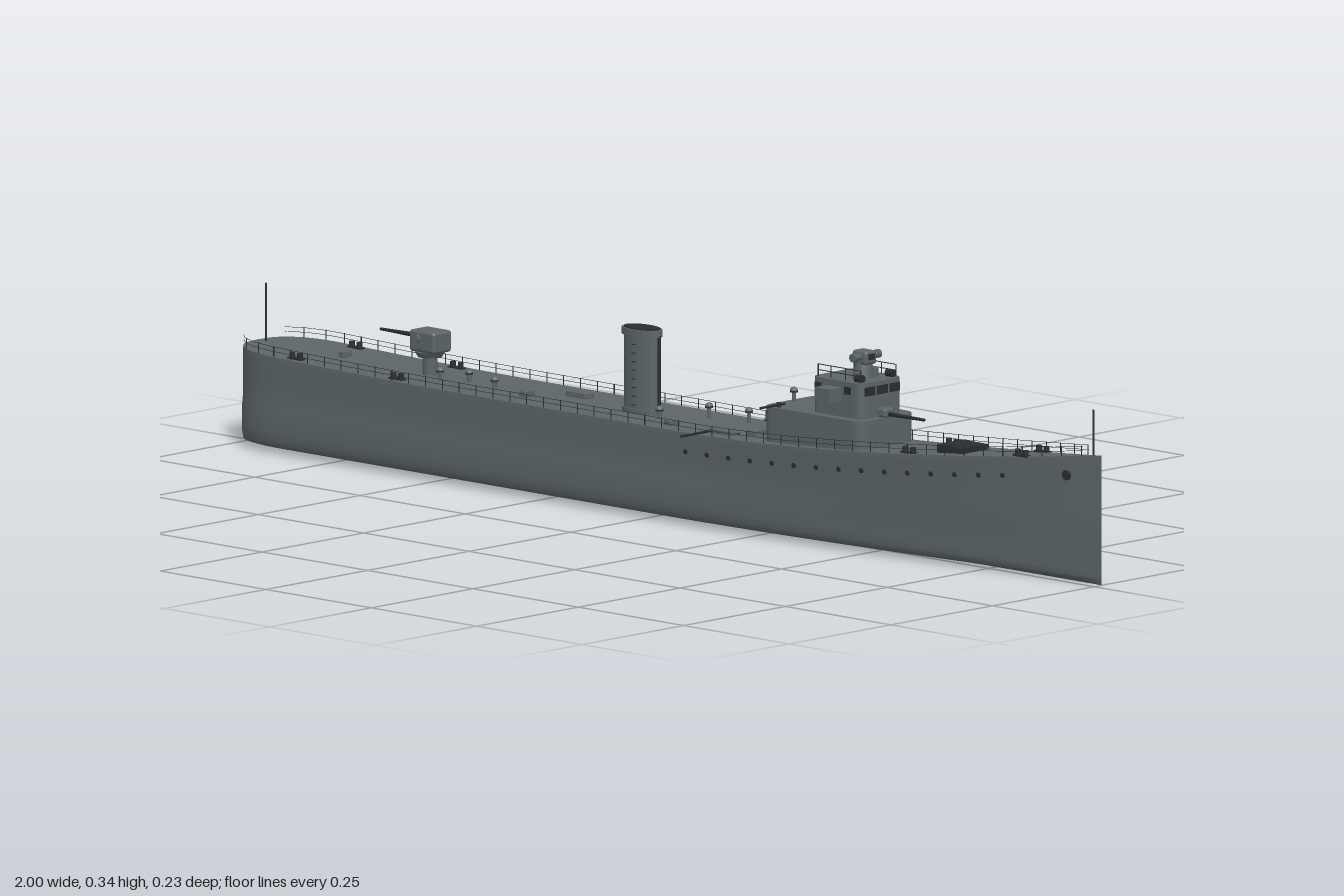
import * as THREE from 'three';
import { RoundedBoxGeometry } from 'three/addons/geometries/RoundedBoxGeometry.js';

const mat = (name, color) => {
  const m = new THREE.MeshStandardMaterial({ color });
  m.name = name;
  return m;
};

export function createModel() {
  const grey = mat('ship grey', 0x5c6568);
  const dark = mat('dark fittings', 0x2a2d2f);
  const ship = new THREE.Group();
  ship.name = 'warship';
  ship.position.z = -0.019;

  const add = (name, geo, m, x = 0, y = 0, z = 0, parent = ship) => {
    const mesh = new THREE.Mesh(geo, m);
    mesh.name = name;
    mesh.position.set(x, y, z);
    parent.add(mesh);
    return mesh;
  };
  const box = (name, m, w, h, d, x, y, z, parent) => add(name, new THREE.BoxGeometry(w, h, d), m, x, y, z, parent);
  const rod = (name, m, a, b, r, r2 = r, parent = ship) => {
    const p = new THREE.Vector3(...a), q = new THREE.Vector3(...b), dir = q.clone().sub(p);
    const mesh = add(name, new THREE.CylinderGeometry(r2, r, dir.length(), r > 0.003 ? 16 : 6), m, 0, 0, 0, parent);
    mesh.position.copy(p).add(q).multiplyScalar(0.5);
    mesh.quaternion.setFromUnitVectors(new THREE.Vector3(0, 1, 0), dir.normalize());
    return mesh;
  };
  // Extruded outline standing on y, with rounded vertical corners
  const block = (name, m, w, h, d, r, x, y, z, parent) => {
    const s = new THREE.Shape(), a = w / 2, b = d / 2;
    s.moveTo(-a + r, -b).lineTo(a - r, -b).quadraticCurveTo(a, -b, a, -b + r).lineTo(a, b - r);
    s.quadraticCurveTo(a, b, a - r, b).lineTo(-a + r, b).quadraticCurveTo(-a, b, -a, b - r);
    s.lineTo(-a, -b + r).quadraticCurveTo(-a, -b, -a + r, -b);
    const g = new THREE.ExtrudeGeometry(s, { depth: h, bevelEnabled: false, curveSegments: 6 });
    return add(name, g.rotateX(-Math.PI / 2), m, x, y, z, parent);
  };

  // Hull lines: half breadth and deck height along the length
  const half = (x) => {
    if (x < -0.86) return 0.094 * Math.pow(Math.max(0, 1 - Math.pow((-0.86 - x) / 0.14, 2.6)), 1 / 2.6);
    if (x < 0.15) return 0.094;
    return 0.094 * (1 - Math.pow((x - 0.15) / 0.85, 2.0));
  };
  const deckY = (x) => 0.165 + (x > 0.1 ? 0.063 * Math.pow((x - 0.1) / 0.9, 1.7) : 0) + (x < -0.4 ? 0.01 * Math.pow((-0.4 - x) / 0.6, 2) : 0);
  const stations = [];
  for (let i = 0; i <= 14; i++) stations.push(-0.86 - 0.14 * Math.cos((i / 14) * Math.PI / 2));
  for (let i = 1; i <= 50; i++) stations.push(-0.86 + (1.86 * i) / 50);

  // Hull shell from cross-sections
  const section = (x) => {
    const b = Math.max(half(x), 0.0008), h = deckY(x);
    const s = Math.max(0, (x - 0.1) / 0.9), low = 1 - 0.3 * s, mid = 1 - 0.15 * s;
    const pts = [[0.95, h], [0.96, h - 0.01], [0.95 * mid + 0.01 * s, 0.12], [0.96 * mid, 0.09], [low, 0.07],
      [low, 0.04], [0.985 * low, 0.025], [0.94 * low, 0.015], [0.8 * low, 0.011], [0.4 * low, 0.007]]
      .map(([f, y]) => [f * b, y]);
    return [...pts, [0, 0.003], ...pts.map(([z, y]) => [-z, y]).reverse()];
  };
  const pos = [], idx = [], dPos = [], dIdx = [];
  stations.forEach((x, i) => {
    const sec = section(x), n = sec.length;
    sec.forEach(([z, y]) => pos.push(x, y, z));
    dPos.push(x, sec[0][1], sec[0][0], x, sec[0][1], -sec[0][0]);
    if (i === stations.length - 1) return;
    for (let j = 0; j < n - 1; j++) {
      const a = i * n + j, c = a + n;
      idx.push(a, a + 1, c, a + 1, c + 1, c);
    }
    const p = i * 2;
    dIdx.push(p, p + 2, p + 1, p + 1, p + 2, p + 3);
  });
  const surface = (p, ix) => {
    const g = new THREE.BufferGeometry();
    g.setAttribute('position', new THREE.Float32BufferAttribute(p, 3));
    g.setIndex(ix);
    g.computeVertexNormals();
    return g;
  };
  add('hull', surface(pos, idx), grey);
  add('deck', surface(dPos, dIdx), grey);

  // Portholes, anchors, bollards and railings on both sides
  for (const s of [1, -1]) {
    for (let i = 0; i < 15; i++) {
      const x = 0.1 + i * 0.05, y = deckY(x) - 0.033;
      const sec = section(x), t = (y - 0.12) / (sec[1][1] - 0.12);
      const z = sec[2][0] + (sec[1][0] - sec[2][0]) * t;
      add('porthole', new THREE.CylinderGeometry(0.0045, 0.0045, 0.004, 10).rotateX(Math.PI / 2), dark, x, y, s * z);
    }
    add('anchor', new THREE.CylinderGeometry(0.009, 0.009, 0.006, 10).rotateX(Math.PI / 2), dark, 0.93, 0.187, s * (half(0.93) * 0.9));
    for (const x of [-0.84, -0.6, 0.595, 0.835]) {
      for (const dx of [-0.009, 0.009]) rod('bollard', dark, [x + dx, deckY(x), s * half(x) * 0.78], [x + dx, deckY(x) + 0.011, s * half(x) * 0.78], 0.005);
      box('bollard base', dark, 0.032, 0.003, 0.012, x, deckY(x) + 0.001, s * half(x) * 0.78);
    }
    const edge = (x, up) => new THREE.Vector3(x, deckY(x) + up, s * half(x) * 0.925);
    for (const up of [0.009, 0.017]) {
      const path = new THREE.CatmullRomCurve3(stations.filter((x, i) => i > 3 && x < 0.98).map((x) => edge(x, up)));
      add('rail wire', new THREE.TubeGeometry(path, 90, 0.0005, 3), dark);
    }
    for (let x = -0.96; x < 0.97; x += 0.04) rod('rail post', dark, edge(x, 0).toArray(), edge(x, 0.018).toArray(), 0.0009);
  }

  // Flag staffs
  rod('sternStaff', dark, [-0.982, 0.17, 0], [-0.982, 0.275, 0], 0.0018);
  rod('bowStaff', dark, [0.98, 0.22, 0], [0.98, 0.305, 0], 0.0018);

  // Deckhouse and bridge
  block('deckhouse', grey, 0.235, 0.068, 0.138, 0.025, 0.377, 0.162, 0);
  block('bridge', grey, 0.118, 0.063, 0.104, 0.018, 0.42, 0.229, 0);
  box('bridgeWings', grey, 0.035, 0.022, 0.164, 0.415, 0.27, 0);
  for (const z of [-0.03, 0, 0.03]) box('frontWindow', dark, 0.004, 0.015, 0.024, 0.479, 0.277, z);
  for (const s of [1, -1]) {
    for (const x of [0.378, 0.448]) box('sideWindow', dark, 0.016, 0.013, 0.003, x, 0.277, s * 0.0522);
    // Rail around the bridge roof
    for (const x of [0.37, 0.4, 0.435, 0.47]) rod('roof rail post', dark, [x, 0.29, s * 0.044], [x, 0.313, s * 0.044], 0.001);
    for (const y of [0.303, 0.313]) rod('roof rail', dark, [0.37, y, s * 0.044], [0.47, y, s * 0.044], 0.0008);
    rod('searchlight', dark, [0.455, 0.298, s * 0.038], [0.47, 0.298, s * 0.038], 0.007);
  }

  // Range finder on the bridge roof
  const director = new THREE.Group();
  director.name = 'rangeFinder';
  ship.add(director);
  rod('director pedestal', grey, [0.435, 0.29, 0], [0.435, 0.322, 0], 0.019, 0.014, director);
  add('director body', new RoundedBoxGeometry(0.034, 0.024, 0.028, 2, 0.005), grey, 0.437, 0.328, 0, director);
  rod('range tube', grey, [0.44, 0.33, -0.031], [0.44, 0.33, 0.031], 0.0055, 0.0055, director);
  for (const s of [1, -1]) {
    rod('range tube end', grey, [0.44, 0.33, s * 0.025], [0.44, 0.33, s * 0.033], 0.0075, 0.0075, director);
    rod('roof instrument', grey, [0.44, 0.291, s * 0.02], [0.44, 0.308, s * 0.02], 0.008, 0.008, director);
  }
  box('director window', dark, 0.003, 0.01, 0.014, 0.4545, 0.33, 0, director);

  // Main guns: forward on the deckhouse, aft on a pedestal
  rod('foreGun mount', grey, [0.48, 0.222, 0], [0.48, 0.24, 0], 0.012);
  add('foreGun breech', new RoundedBoxGeometry(0.03, 0.016, 0.024, 2, 0.004), grey, 0.482, 0.238, 0);
  rod('foreGun barrel', dark, [0.485, 0.236, 0], [0.58, 0.236, 0], 0.004, 0.0025);
  rod('aftGun pedestal', grey, [-0.593, 0.165, 0], [-0.593, 0.205, 0], 0.013);
  rod('aftGun base', grey, [-0.593, 0.197, 0], [-0.593, 0.207, 0], 0.021, 0.027);
  add('aftGun house', new RoundedBoxGeometry(0.06, 0.038, 0.046, 2, 0.006), grey, -0.592, 0.225, 0);
  rod('aftGun barrel', dark, [-0.61, 0.23, 0], [-0.71, 0.23, 0], 0.0045, 0.0025);
  for (const s of [1, -1]) rod('aftGun sight', grey, [-0.6, 0.23, s * 0.02], [-0.6, 0.23, s * 0.029], 0.007);

  // Side gun and boarding boom
  rod('sideGun pedestal', dark, [0.292, 0.228, 0.06], [0.292, 0.238, 0.06], 0.004);
  rod('sideGun barrel', dark, [0.292, 0.234, 0.045], [0.292, 0.234, 0.106], 0.0022);
  rod('boom', dark, [0.13, 0.168, 0.06], [0.13, 0.168, 0.134], 0.0022);
  rod('boom stay', dark, [0.13, 0.168, 0.063], [0.185, 0.168, 0.045], 0.0015);

  // Funnel with a collar and a dark mouth
  const funnel = new THREE.Group();
  funnel.name = 'funnel';
  funnel.position.set(-0.09, 0.16, 0);
  ship.add(funnel);
  const oval = (name, m, r, h, y) => {
    const part = add(name, new THREE.CylinderGeometry(r, r, h, 32), m, 0, y, 0, funnel);
    part.scale.z = 0.56;
  };
  oval('funnel casing', grey, 0.038, 0.148, 0.074);
  oval('funnel foot', grey, 0.042, 0.01, 0.008);
  oval('funnel collar', grey, 0.043, 0.012, 0.145);
  oval('funnel mouth', dark, 0.038, 0.003, 0.1515);
  rod('steam pipe', dark, [0.041, 0.0, 0], [0.041, 0.142, 0], 0.003, 0.003, funnel);
  for (let i = 0; i < 8; i++) rod('funnel rung', dark, [-0.004, 0.02 + i * 0.015, 0.0215], [0.004, 0.02 + i * 0.015, 0.0215], 0.001, 0.001, funnel);

  // Windlass grating on the foredeck
  box('foredeckHatch', dark, 0.062, 0.018, 0.062, 0.67, 0.197, 0);

  // Lockers, hatches and vents on the main deck: x, z, width, depth, height
  for (const [x, z, w, d, h] of [[-0.265, -0.028, 0.048, 0.022, 0.011], [-0.145, -0.042, 0.04, 0.018, 0.01],
    [-0.335, 0.03, 0.016, 0.024, 0.012], [-0.8, -0.005, 0.014, 0.02, 0.012], [0.155, 0.055, 0.055, 0.016, 0.009],
    [0.21, 0.03, 0.022, 0.032, 0.012], [0.03, 0.05, 0.016, 0.026, 0.011]])
    add('deck locker', new RoundedBoxGeometry(w, h, d, 1, 0.002), grey, x, deckY(x) + h / 2 - 0.001, z);
  for (const [x, z, h] of [[-0.5, 0, 0.016], [-0.43, 0.01, 0.014], [0.035, -0.035, 0.022], [0.115, -0.05, 0.022],
    [0.27, 0.0, 0.08], [-0.55, 0.02, 0.016], [0.19, -0.02, 0.02], [-0.02, 0.03, 0.018]]) {
    rod('vent pipe', grey, [x, deckY(x) - 0.002, z], [x, deckY(x) + h, z], 0.0035);
    add('vent cap', new THREE.SphereGeometry(0.007, 12, 6, 0, Math.PI * 2, 0, Math.PI / 2), grey, x, deckY(x) + h - 0.001, z);
    add('vent cap rim', new THREE.CylinderGeometry(0.007, 0.007, 0.003, 12), dark, x, deckY(x) + h - 0.002, z);
  }

  const model = new THREE.Group();
  model.name = 'model';
  model.add(ship);
  return model;
}
